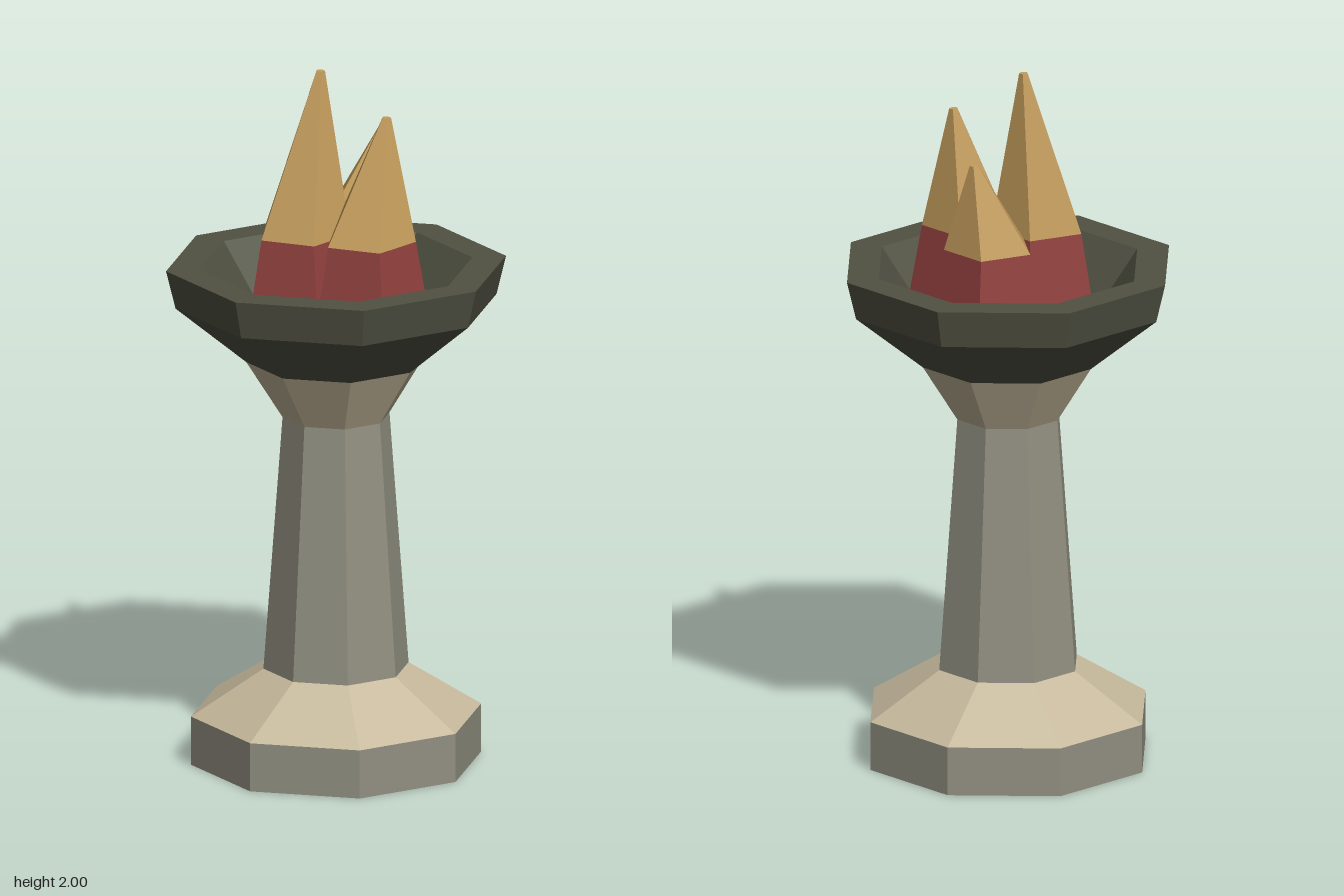
import * as THREE from 'three';

const paint = (name, color) => {
  const m = new THREE.MeshStandardMaterial({ color, flatShading: true });
  m.name = name;
  return m;
};

// Flat-shaded mesh from any geometry
function part(name, geometry, material) {
  const g = geometry.toNonIndexed();
  g.computeVertexNormals();
  const mesh = new THREE.Mesh(g, material);
  mesh.name = name;
  return mesh;
}

// Eight-sided turned part; profile is [distance to flat, height] pairs
function octagon(name, profile, material) {
  const k = 1 / Math.cos(Math.PI / 8);
  const points = profile.map(([r, y]) => new THREE.Vector2(r * k, y));
  return part(name, new THREE.LatheGeometry(points, 8, Math.PI / 8), material);
}

// Five-sided section, its top end shifted sideways by lean
function section(name, rBottom, rTop, y0, y1, lean, open, material) {
  const h = y1 - y0;
  const g = new THREE.CylinderGeometry(rTop, rBottom, h, 5, 1, open, -Math.PI / 2);
  g.translate(0, h / 2, 0);
  const p = g.attributes.position;
  for (let i = 0; i < p.count; i++) {
    p.setX(i, p.getX(i) + lean * p.getY(i) / h);
  }
  g.translate(0, y0, 0);
  return part(name, g, material);
}

export function createModel() {
  const stone = paint('grey stone', 0x929081);
  const sand = paint('sandstone', 0xc6b99c);
  const iron = paint('dark iron', 0x505142);
  const ember = paint('ember red', 0x90403e);
  const gold = paint('flame gold', 0xc49d5c);

  const model = new THREE.Group();
  model.name = 'brazier';

  // Pedestal
  model.add(
    octagon('basePlinth', [[0, 0], [0.38, 0], [0.38, 0.14]], stone),
    octagon('baseSlope', [[0.38, 0.14], [0.19, 0.27]], sand),
    octagon('column', [[0.19, 0.27], [0.14, 1.0]], stone),
    octagon('collar', [[0.14, 1.0], [0.235, 1.165]], sand),
  );

  // Bowl with rim and hollow inside
  model.add(octagon('bowl', [
    [0, 1.165], [0.235, 1.165], [0.42, 1.33], [0.445, 1.44],
    [0.357, 1.44], [0.262, 1.3], [0, 1.3],
  ], iron));

  // Three leaning flames: x, z, ring radius, tip height
  const flames = [
    [-0.093, -0.028, 0.135, 2.0],
    [0.139, -0.073, 0.129, 1.79],
    [0.025, 0.132, 0.133, 1.885],
  ];
  flames.forEach(([x, z, r, tip], i) => {
    const flame = new THREE.Group();
    flame.name = `flame${i + 1}`;
    flame.position.set(x, 0, z);
    flame.add(
      section('flameBase', r + 0.042, r, 1.3, 1.535, 0, true, ember),
      section('flameTip', r, 0.013, 1.535, tip, 0.059, false, gold),
    );
    model.add(flame);
  });

  return model;
}
